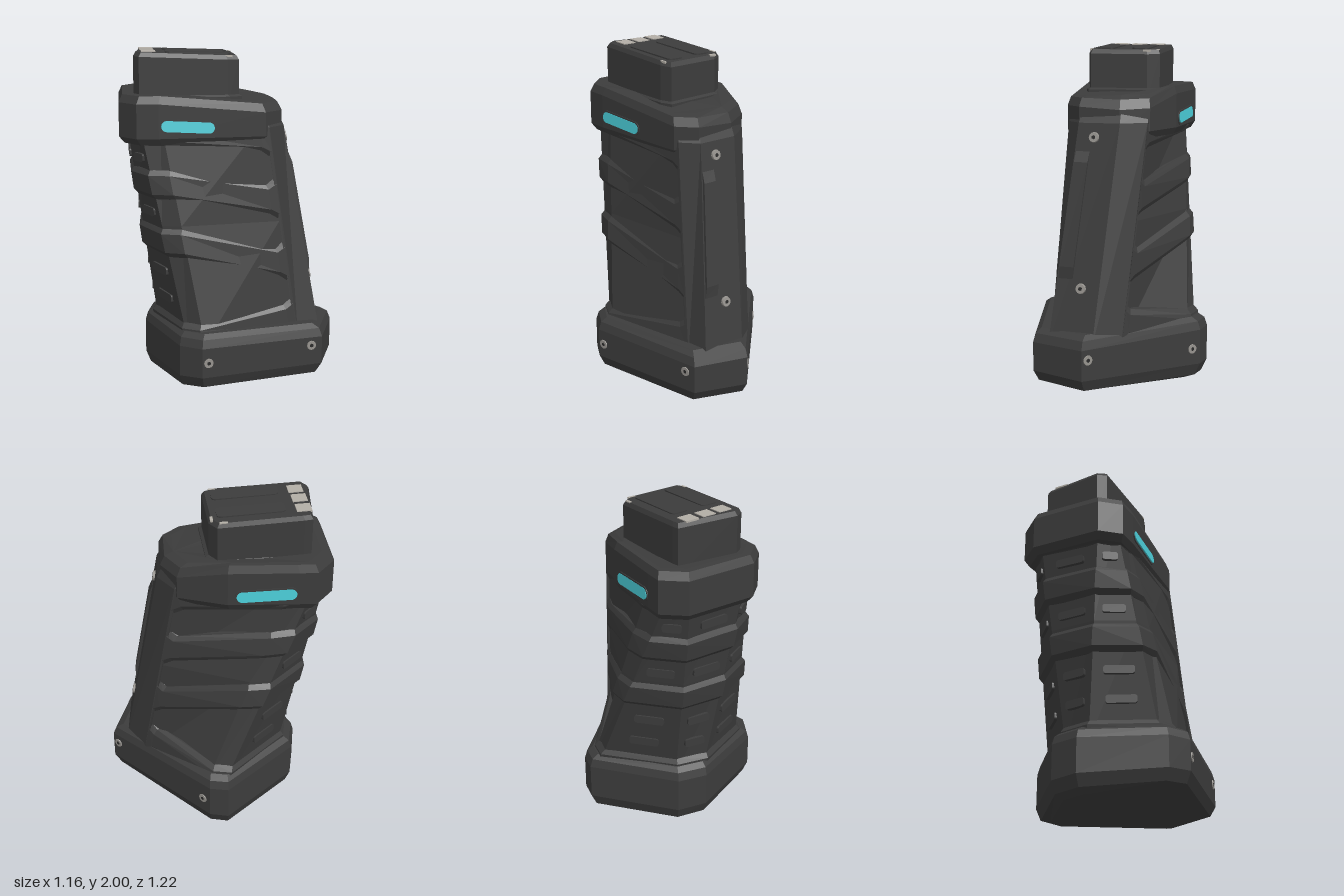
import * as THREE from 'three';

const mat = (name, color) => {
  const m = new THREE.MeshStandardMaterial({ color });
  m.name = name;
  return m;
};
const lerp = (a, b, t) => a + (b - a) * t;
const mix = (p, q, t) => [lerp(p[0], q[0], t), lerp(p[1], q[1], t)];

// Plan outlines [x, z], from the front round by the left, back and right
const BASE = [[0.58, 0.4], [0.32, 0.61], [-0.38, 0.35], [-0.45, 0.22], [-0.36, -0.28], [-0.23, -0.41], [0.33, -0.48], [0.41, -0.4]];
// Ten points: front 0-1, left 2-4, back 5-6, right 7-9
const LOW = [[0.52, 0.31], [0.36, 0.52], [0.235, 0.47], [-0.34, 0.28], [-0.4, 0.18], [-0.34, -0.22], [-0.2, -0.36], [0.28, -0.44], [0.36, -0.36], [0.51, 0.13]];
const HIGH = [[0.4, 0.12], [0.26, 0.32], [0.135, 0.335], [-0.42, 0.03], [-0.52, -0.05], [-0.53, -0.19], [-0.34, -0.52], [-0.18, -0.56], [-0.04, -0.5], [0.4, -0.05]];
const COLLAR = [[0.37, 0.1], [0.24, 0.3], [0.1, 0.325], [-0.45, 0.03], [-0.555, -0.04], [-0.58, -0.19], [-0.35, -0.56], [-0.19, -0.61], [-0.105, -0.55], [0.21, -0.315], [0.385, -0.08]];
const CAP = [[0.2, -0.13], [0.03, 0.16], [-0.04, 0.145], [-0.475, -0.13], [-0.475, -0.19], [-0.25, -0.48], [-0.21, -0.46], [0.2, -0.21]];

const scaled = (poly, k) => {
  const c = [0, 1].map((i) => poly.reduce((s, p) => s + p[i], 0) / poly.length);
  return poly.map((p) => mix(c, p, k));
};
const bodyAt = (y) => LOW.map((p, i) => mix(p, HIGH[i], (y - 0.38) / 1.1));
const ring = (poly, y) => poly.map(([x, z]) => [x, typeof y === 'function' ? y(x, z) : y, z]);

// Flat-shaded skin through a list of equal-length rings, closed at both ends
function loft(rings) {
  const v = [];
  const tri = (...ps) => ps.forEach((p) => v.push(...p));
  const n = rings[0].length;
  for (let i = 0; i < rings.length - 1; i++) {
    for (let j = 0; j < n; j++) {
      const k = (j + 1) % n, a = rings[i], b = rings[i + 1];
      tri(a[j], b[j], a[k]);
      tri(a[k], b[j], b[k]);
    }
  }
  const first = rings[0], last = rings[rings.length - 1];
  for (let j = 1; j < n - 1; j++) {
    tri(first[0], first[j], first[j + 1]);
    tri(last[0], last[j + 1], last[j]);
  }
  const g = new THREE.BufferGeometry();
  g.setAttribute('position', new THREE.Float32BufferAttribute(v, 3));
  g.computeVertexNormals();
  return g;
}

// Rounded bar centred on the origin, facing +z
function roundedBar(w, h, d, r) {
  const s = new THREE.Shape();
  const x = w / 2, y = h / 2;
  s.moveTo(-x + r, -y);
  s.lineTo(x - r, -y).absarc(x - r, -y + r, r, -Math.PI / 2, 0);
  s.lineTo(x, y - r).absarc(x - r, y - r, r, 0, Math.PI / 2);
  s.lineTo(-x + r, y).absarc(-x + r, y - r, r, Math.PI / 2, Math.PI);
  s.lineTo(-x, -y + r).absarc(-x + r, -y + r, r, Math.PI, Math.PI * 1.5);
  return new THREE.ExtrudeGeometry(s, { depth: d, bevelEnabled: false, curveSegments: 5 });
}

export function createModel() {
  const model = new THREE.Group();
  const shell = mat('charcoal shell', 0x3c3c3c);
  const dark = mat('dark recess', 0x2a2a2a);
  const glow = mat('cyan light', 0x4acbd6);
  const metal = mat('screw metal', 0x96938e);
  const contact = mat('pale contact', 0xb3aea6);

  const add = (name, geo, material, parent = model) => {
    const m = new THREE.Mesh(geo, material);
    m.name = name;
    parent.add(m);
    return m;
  };
  // Puts an object on the wall from a to b, facing outwards
  const onWall = (obj, a, b, t, y, out = 0) => {
    const p = mix(a, b, t);
    const n = new THREE.Vector2(b[1] - a[1], a[0] - b[0]).normalize();
    obj.position.set(p[0] + n.x * out, y, p[1] + n.y * out);
    obj.rotation.y = Math.atan2(n.x, n.y);
    return obj;
  };

  // Base shoe, slightly tilted underneath
  add('baseShoe', loft([
    ring(scaled(BASE, 0.82), (x, z) => Math.max(0, 0.02 + 0.063 * z)),
    ring(scaled(BASE, 0.94), (x, z) => 0.045 + 0.05 * z),
    ring(BASE, (x, z) => 0.115 + 0.04 * z),
    ring(BASE, 0.31),
    ring(scaled(BASE, 0.97), 0.36),
    ring(scaled(BASE, 0.9), 0.385),
  ]), shell);

  // Recessed grip core
  const coreAt = (y) => scaled(bodyAt(y), 0.955);
  add('gripCore', loft([0.3, 1.0, 1.6].map((y) => ring(coreAt(y), y))), shell);

  // Front column, full depth, with a sloped top
  const columnAt = (y, k = 1) => {
    const b = scaled(bodyAt(y), k);
    return [b[0], b[1], b[2], mix(b[2], b[3], 0.03), mix(b[9], b[8], 0.03), b[9]];
  };
  add('frontColumn', loft([
    ring(columnAt(0.3), 0.3), ring(columnAt(1.56), 1.56), ring(columnAt(1.6, 0.96), 1.62), ring(columnAt(1.62, 0.83), 1.69),
  ]), shell);

  // Raised rail down the front face
  const railAt = (y, out) => {
    const b = bodyAt(y), p = mix(b[0], b[1], 0.64), q = mix(b[0], b[1], 0.97);
    const o = ([x, z], d) => [x + 0.82 * d, z + 0.57 * d];
    return ring([o(p, out), o(q, out), o(q, -0.03), o(p, -0.03)], y);
  };
  add('frontRail', loft([railAt(0.68, 0), railAt(0.75, 0.015), railAt(1.34, 0.015), railAt(1.4, 0)]), shell);

  // Wraparound ribs: [back bottom, back top, front bottom, front top]
  const ribs = [[0.34, 0.42, 0.34, 0.49], [0.82, 0.98, 0.67, 0.84], [1.16, 1.32, 1.05, 1.22], [1.47, 1.58, 1.42, 1.56]];
  ribs.forEach(([backLow, backTop, frontLow, frontTop], i) => {
    const section = (pick, low, top) => {
      const at = (y, k) => {
        const [x, z] = pick(scaled(bodyAt(y), k));
        return [x, y, z];
      };
      return [at(top + 0.01, 0.88), at(top + 0.005, 0.95), at(top - 0.025, 1.003),
        at(low + 0.025, 1.003), at(low - 0.005, 0.95), at(low - 0.01, 0.88)];
    };
    const sections = [
      section((b) => mix(b[2], b[3], 0.01), frontLow - 0.03, frontTop + 0.03),
      section((b) => mix(b[2], b[3], 0.09), frontLow, frontTop),
    ];
    for (let j = 3; j < 9; j++) sections.push(section((b) => b[j], backLow, backTop));
    sections.push(section((b) => mix(b[9], b[8], 0.09), frontLow, frontTop));
    sections.push(section((b) => mix(b[9], b[8], 0.01), frontLow - 0.03, frontTop + 0.03));
    add('gripRib' + (i + 1), loft(sections), shell);
  });

  // Short grip bars on the three back facets
  for (const y of [1.39, 1.07, 0.71, 0.54]) {
    const c = coreAt(y);
    for (const j of [4, 5, 6]) {
      const len = Math.hypot(c[j + 1][0] - c[j][0], c[j + 1][1] - c[j][1]);
      const w = Math.min(0.18, len * 0.6);
      onWall(add('gripBar', roundedBar(w, 0.05, 0.03, 0.015), shell), c[j], c[j + 1], 0.5, y, -0.018);
    }
  }

  // Collar, dropping away towards the front
  const slope = (y) => (x, z) => y - 0.035 * Math.max(0, x + z + 0.1) - 0.4 * Math.max(0, x - 0.25) - 0.15 * Math.max(0, z - 0.05);
  add('collar', loft([
    ring(scaled(COLLAR, 0.93), 1.47), ring(COLLAR, 1.51), ring(COLLAR, slope(1.71)),
    ring(scaled(COLLAR, 0.95), slope(1.755)), ring(scaled(COLLAR, 0.85), slope(1.755)),
  ]), shell);

  // Cyan light slots in both collar sides, leaning slightly upwards
  for (const [j, t, w, y, roll] of [[2, 0.73, 0.31, 1.575, -0.06], [8, 0.45, 0.335, 1.57, 0.06]]) {
    const slot = new THREE.Group();
    slot.name = 'lightSlot';
    add('slotRim', roundedBar(w + 0.02, 0.084, 0.005, 0.042), shell, slot);
    add('lightBar', roundedBar(w, 0.064, 0.009, 0.032).rotateX(-0.1), glow, slot);
    model.add(onWall(slot, COLLAR[j], COLLAR[j + 1], t, y, 0));
    slot.rotateZ(roll);
  }

  // Plug block on top with its neck
  add('plugNeck', loft([ring(scaled(CAP, 1.06), 1.64), ring(scaled(CAP, 1.06), 1.735), ring(CAP, 1.745)]), shell);
  const topY = (x, z) => 1.975 - 0.04 * (x + 0.14) - 0.012 * (z + 0.16);
  add('plugBlock', loft([
    ring(CAP, 1.68), ring(CAP, (x, z) => topY(x, z) - 0.02), ring(scaled(CAP, 0.95), (x, z) => topY(x, z) + 0.005),
  ]), shell);

  // Contacts, worn corner chips and long pads on the plug top
  const onTop = (name, geo, material, x, z, lift) => {
    const m = add(name, geo, material);
    m.rotation.set(0, -0.545, -0.04, 'ZYX');
    m.position.set(x, topY(x, z) + lift, z);
  };
  for (const [x, z] of [[-0.265, -0.38], [-0.322, -0.28], [-0.375, -0.183]]) {
    onTop('contactPad', new THREE.BoxGeometry(0.084, 0.01, 0.084), contact, x, z, 0.005);
  }
  for (const [x, z, w, d] of [[0.16, -0.215, 0.045, 0.016], [0.183, -0.135, 0.016, 0.045], [-0.025, 0.135, 0.04, 0.014]]) {
    onTop('wornChip', new THREE.BoxGeometry(w, 0.012, d), contact, x, z, 0);
  }
  for (const [x, z] of [[-0.03, -0.21], [-0.13, -0.03]]) {
    onTop('longPad', roundedBar(0.38, 0.1, 0.008, 0.025).rotateX(-Math.PI / 2), shell, x, z, 0.004);
  }

  // Screws on the front face and round the base
  const screw = (a, b, t, y, out, tilt = 0) => {
    const g = new THREE.Group();
    g.name = 'screw';
    add('screwHead', new THREE.CylinderGeometry(0.028, 0.033, 0.02, 12).rotateX(Math.PI / 2), metal, g);
    add('screwSocket', new THREE.CylinderGeometry(0.012, 0.012, 0.022, 6).rotateX(Math.PI / 2), dark, g);
    model.add(onWall(g, a, b, t, y, out));
    g.rotateX(tilt);
  };
  for (const [y, t] of [[1.48, 0.58], [0.63, 0.42]]) {
    const b = bodyAt(y);
    screw(b[0], b[1], t, y, 0.002, -0.16);
  }
  for (const [t, y] of [[0.95, 0.22], [0.09, 0.26]]) screw(BASE[1], BASE[2], t, y, -0.005);
  for (const [t, y] of [[0.95, 0.25], [0.07, 0.2]]) screw(BASE[7], BASE[0], t, y, -0.005);

  return model;
}
